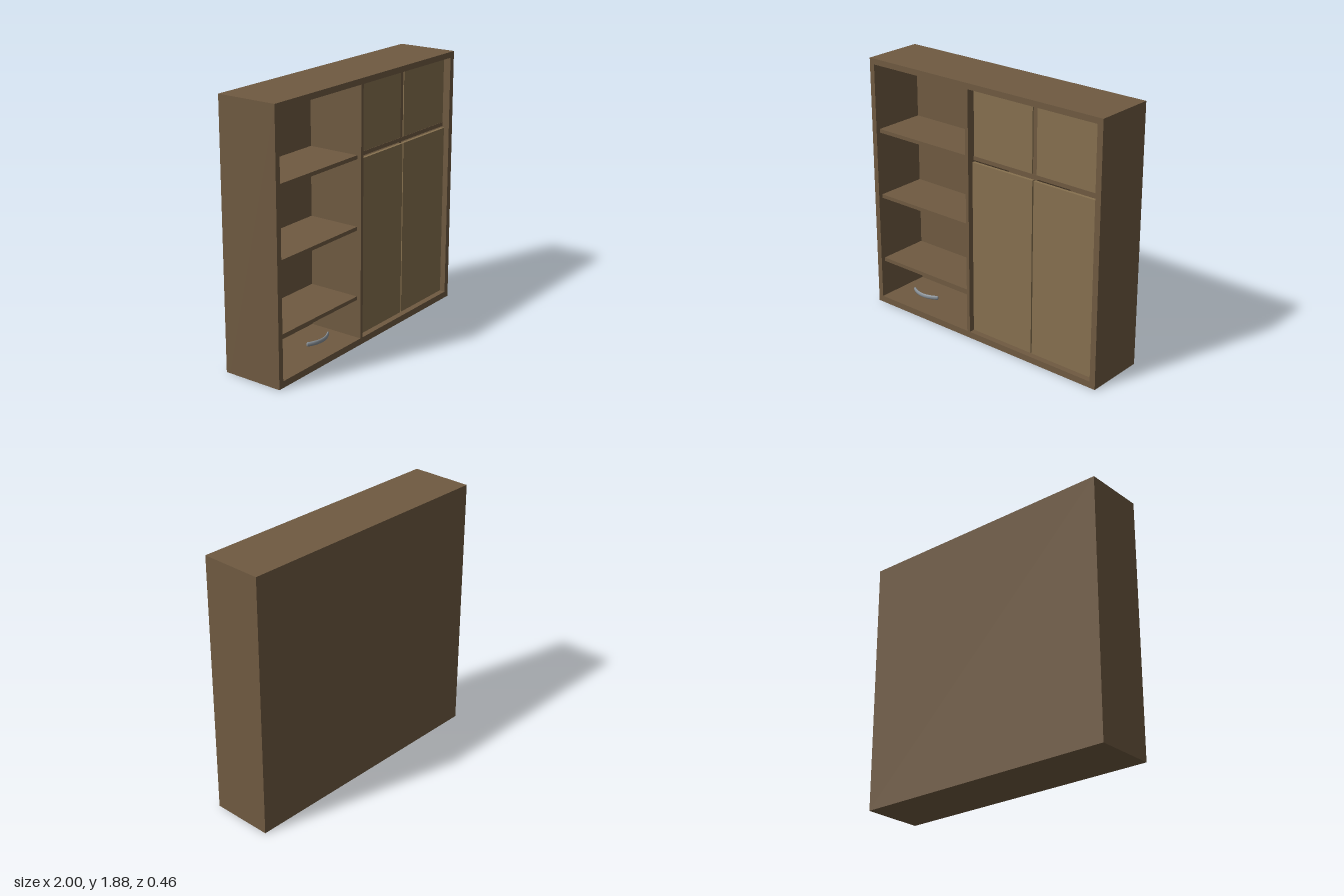
import * as THREE from 'three';

export function createModel() {
  const model = new THREE.Group();
  const wood = new THREE.MeshStandardMaterial({ color: 0x6f5a41 });
  const doorWood = new THREE.MeshStandardMaterial({ color: 0x86704f });
  const metal = new THREE.MeshStandardMaterial({ color: 0x8a9299 });

  // Box given by its limits on each axis
  function panel(name, [x0, x1], [y0, y1], [z0, z1], material = wood) {
    const mesh = new THREE.Mesh(new THREE.BoxGeometry(x1 - x0, y1 - y0, z1 - z0), material);
    mesh.position.set((x0 + x1) / 2, (y0 + y1) / 2, (z0 + z1) / 2);
    mesh.name = name;
    model.add(mesh);
  }

  // Carcass: one frame with two openings, closed by a back panel
  const back = -0.228, inner = -0.2, front = 0.222;
  const rect = (Type, x0, x1, y0, y1) => new Type([
    new THREE.Vector2(x0, y0), new THREE.Vector2(x1, y0),
    new THREE.Vector2(x1, y1), new THREE.Vector2(x0, y1),
  ]);
  const outline = rect(THREE.Shape, -1, 1, 0, 1.88);
  outline.holes.push(rect(THREE.Path, -0.96, -0.12, 0.047, 1.838));
  outline.holes.push(rect(THREE.Path, -0.095, 0.957, 0.047, 1.838));
  const frameGeometry = new THREE.ExtrudeGeometry(outline, { depth: front - inner, bevelEnabled: false });
  const frame = new THREE.Mesh(frameGeometry, wood);
  frame.position.z = inner;
  frame.name = 'frame';
  model.add(frame);
  panel('backPanel', [-1, 1], [0, 1.88], [back, inner]);

  // Open shelves on the model's right
  for (const y of [0.325, 0.83, 1.33]) panel('shelf', [-0.96, -0.12], [y, y + 0.027], [inner, 0.19]);

  // Rail and post behind the doors
  panel('rail', [-0.095, 0.957], [1.33, 1.358], [inner, 0.168]);
  panel('upperPost', [0.416, 0.446], [1.358, 1.838], [inner, 0.165]);
  panel('lowerPost', [0.416, 0.446], [0.047, 1.33], [inner, 0.155]);

  // Two tall doors below, two short ones above
  for (const x of [[-0.093, 0.424], [0.434, 0.955]]) panel('tallDoor', x, [0.05, 1.318], [0.16, 0.182], doorWood);
  for (const x of [[-0.087, 0.412], [0.45, 0.953]]) panel('shortDoor', x, [1.36, 1.836], [0.15, 0.17], doorWood);

  // Bowed drawer handle
  const bow = new THREE.QuadraticBezierCurve3(
    new THREE.Vector3(-0.11, 0, 0), new THREE.Vector3(0, 0, 0.07), new THREE.Vector3(0.11, 0, 0));
  const handle = new THREE.Group();
  handle.name = 'drawerHandle';
  const grip = new THREE.Mesh(new THREE.TubeGeometry(bow, 24, 0.008, 10), metal);
  grip.name = 'handleGrip';
  grip.scale.y = 2;
  handle.add(grip);
  for (const side of [-1, 1]) {
    const cap = new THREE.Mesh(new THREE.SphereGeometry(0.008, 10, 8), metal);
    cap.name = 'handleEnd';
    cap.scale.y = 2;
    cap.position.x = side * 0.11;
    handle.add(cap);
  }
  handle.position.set(-0.55, 0.187, 0.185);
  model.add(handle);
  return model;
}
